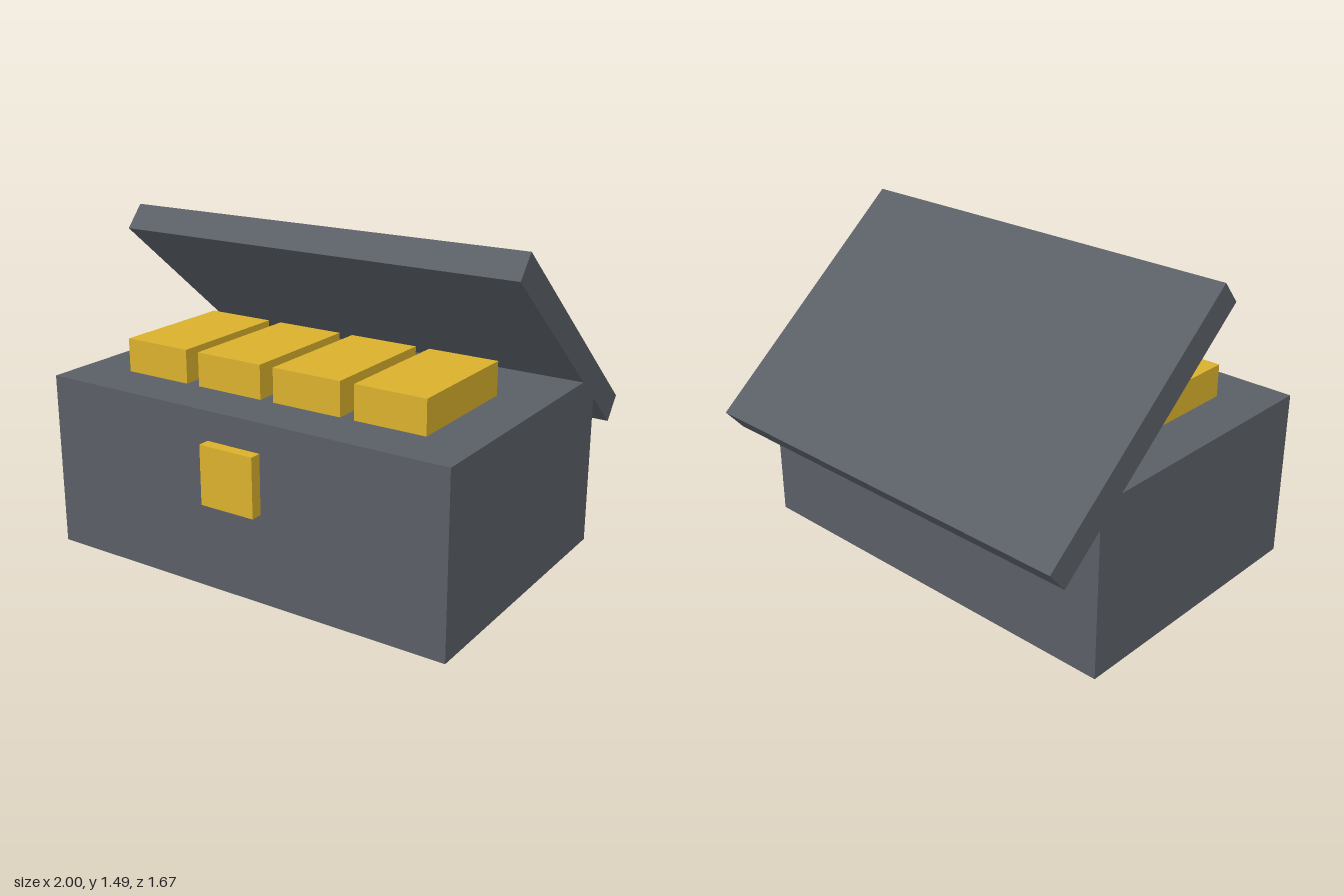
import * as THREE from 'three';

export function createModel() {
  const model = new THREE.Group();
  model.name = 'treasureChest';
  const iron = new THREE.MeshStandardMaterial({ color: 0x5a5f66 });
  const gold = new THREE.MeshStandardMaterial({ color: 0xd9b02c });

  const addBox = (name, size, position, material) => {
    const mesh = new THREE.Mesh(new THREE.BoxGeometry(...size), material);
    mesh.name = name;
    mesh.position.set(...position);
    model.add(mesh);
    return mesh;
  };

  // Chest body
  addBox('body', [2, 0.8, 1.333], [0, 0.4, 0.118], iron);

  // Open lid, tilted up at the front and cutting through the body's back edge
  const lid = addBox('lid', [2, 0.133, 1.333], [0, 1.005, -0.282], iron);
  lid.rotation.x = -0.7;

  // Row of gold bars on top
  for (let i = 0; i < 4; i++) {
    addBox(`goldBar${i + 1}`, [0.333, 0.193, 0.6], [-0.6 + i * 0.4, 0.857, 0.253], gold);
  }

  // Front clasp, partly set into the body
  addBox('clasp', [0.267, 0.267, 0.107], [0, 0.535, 0.784], gold);

  return model;
}
